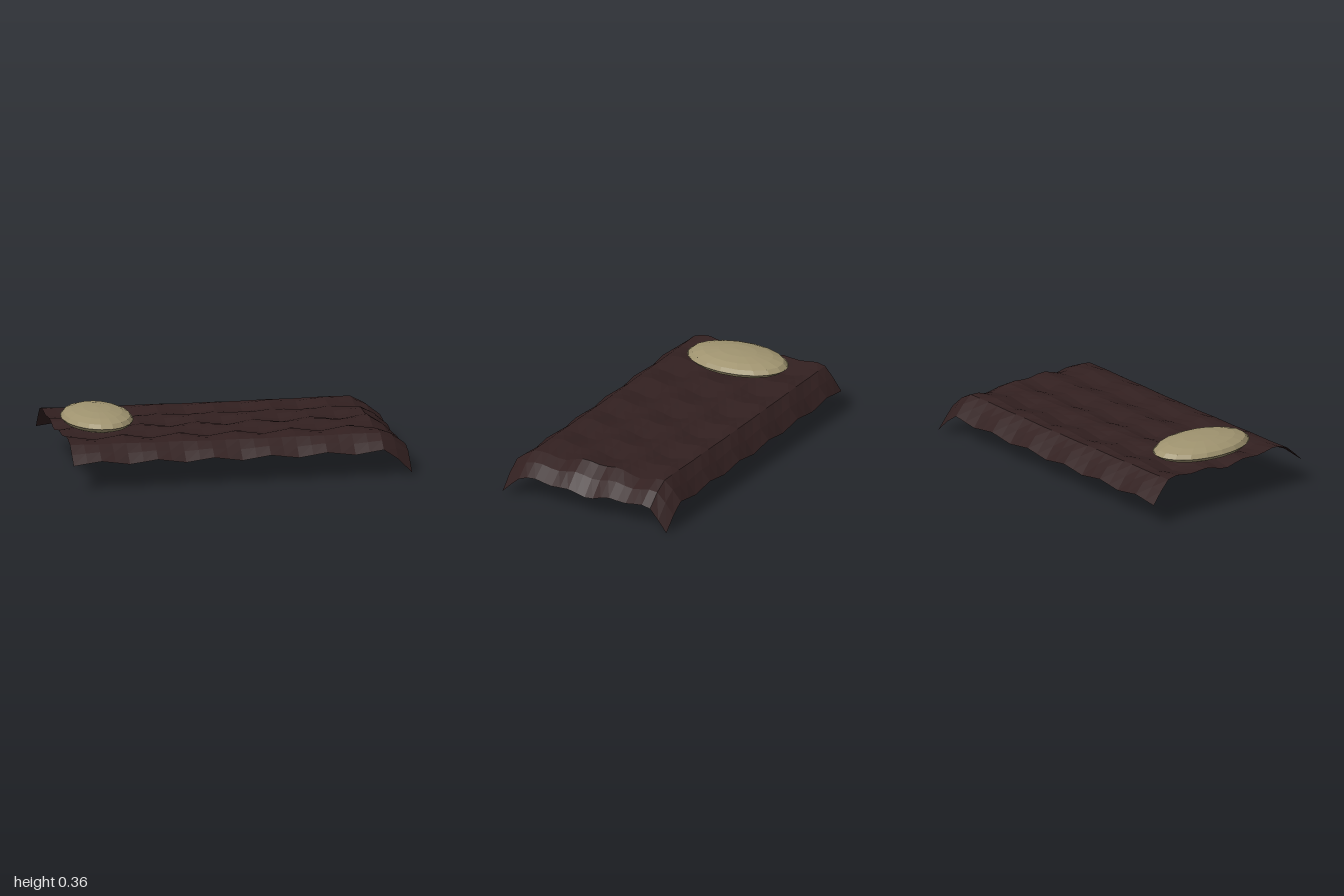
import * as THREE from 'three';

const fabric = new THREE.MeshStandardMaterial({ color: 0x322020, side: THREE.DoubleSide, flatShading: true });
fabric.name = 'dark maroon cloth';
const linen = new THREE.MeshStandardMaterial({ color: 0xa09470, flatShading: true });
linen.name = 'pale linen';

const LENGTH = 2, WIDTH = 1.1;

// Drop of a hem: nothing before the fold line, then curving down to the edge
const hem = (d, fold, edge, drop) => drop * Math.pow(Math.max(0, (d - fold) / (edge - fold)), 1.4);

// Height of the rumpled cloth: crossing ripples, a slight rise to the head,
// and hems on both sides and the foot
function clothHeight(x, z) {
  const crossRipple = -0.013 * Math.cos(18.85 * x) * Math.cos(10.5 * z);
  const longRipple = 0.01 * Math.cos(25 * (z - 0.105));
  const headRise = 0.014 * Math.max(0, -x);
  return 0.243 + crossRipple + longRipple + headRise
    - hem(z, 0.44, 0.55, 0.095) - hem(-z, 0.44, 0.55, 0.11) - hem(x, 0.833, 1, 0.12);
}

function makeBlanket() {
  const geo = new THREE.PlaneGeometry(LENGTH, WIDTH, 24, 20).rotateX(-Math.PI / 2);
  const p = geo.attributes.position;
  for (let i = 0; i < p.count; i++) p.setY(i, Math.max(0, clothHeight(p.getX(i), p.getZ(i))));
  geo.computeVertexNormals();
  const mesh = new THREE.Mesh(geo, fabric);
  mesh.name = 'blanket';
  return mesh;
}

// Flattened oval cushion at the head end, with thin piping round its rim
function makePillow() {
  const pillow = new THREE.Group();
  pillow.name = 'pillow';
  const cushion = new THREE.Mesh(new THREE.SphereGeometry(1, 18, 8).scale(0.205, 0.06, 0.315), linen);
  cushion.name = 'cushion';
  const piping = new THREE.Mesh(
    new THREE.TorusGeometry(1, 0.012, 4, 36).rotateX(Math.PI / 2).scale(0.205, 0.3, 0.315), linen);
  piping.name = 'piping';
  pillow.add(cushion, piping);
  pillow.position.set(-0.752, 0.303, 0);
  return pillow;
}

export function createModel() {
  const group = new THREE.Group();
  group.name = 'bedding';
  group.add(makeBlanket(), makePillow());
  return group;
}
